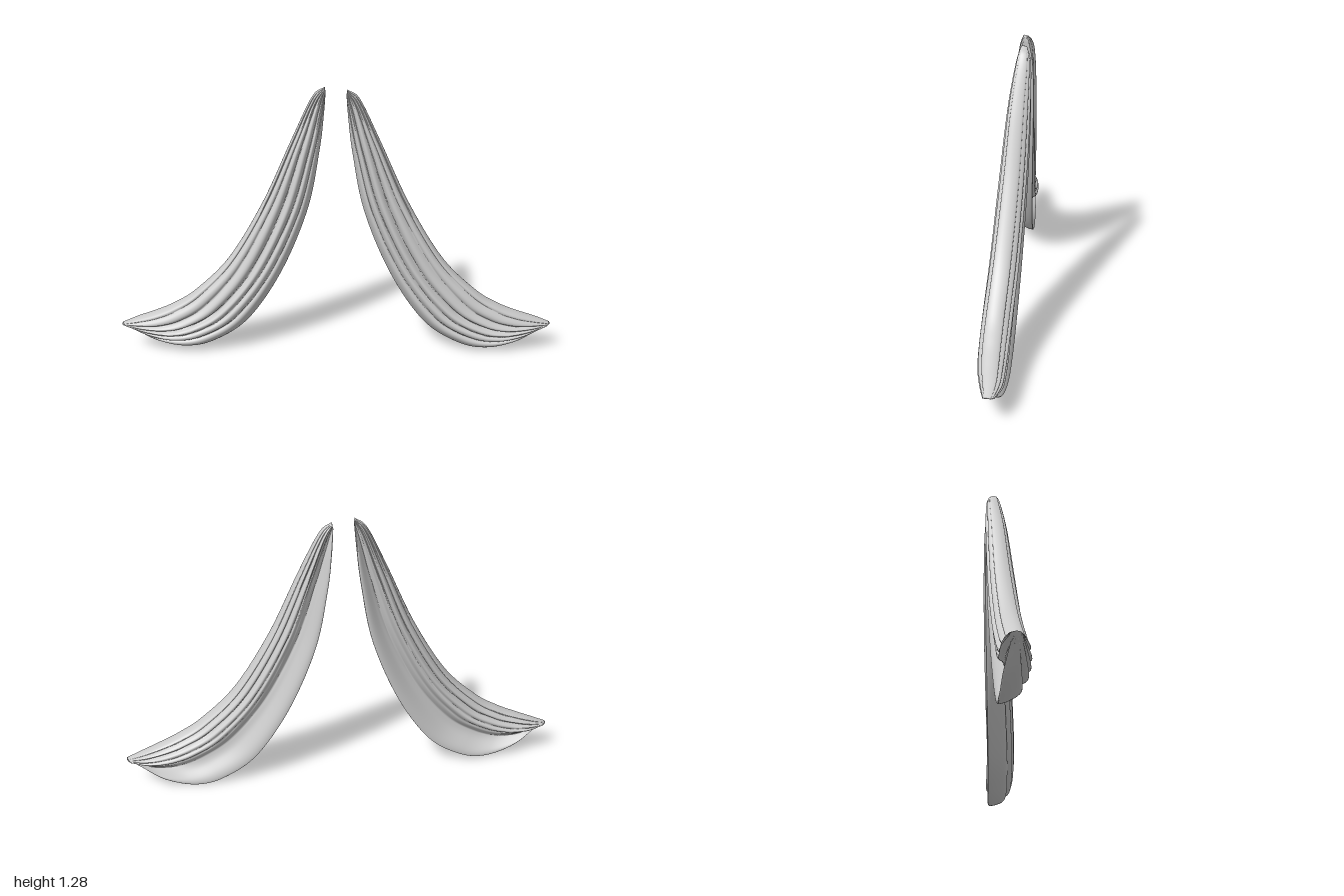
import * as THREE from 'three';

// Stations from the gathered top to the tied-back end:
// outer edge x, y, z | inner edge x, y, z | foremost z, rearmost z
const STATIONS = [
  [0.05, 1.27, -0.035, 0.045, 1.245, -0.05, -0.03, -0.06],
  [0.105, 1.225, -0.045, 0.053, 1.14, -0.065, -0.008, -0.08],
  [0.195, 1.04, -0.025, 0.073, 0.97, -0.073, 0.022, -0.085],
  [0.33, 0.745, -0.01, 0.128, 0.69, -0.068, 0.05, -0.08],
  [0.49, 0.48, 0.01, 0.25, 0.385, -0.058, 0.072, -0.068],
  [0.65, 0.32, 0.02, 0.405, 0.145, -0.048, 0.088, -0.056],
  [0.76, 0.25, 0.02, 0.56, 0.034, -0.042, 0.09, -0.052],
  [0.85, 0.21, 0.015, 0.69, 0.005, -0.036, 0.082, -0.05],
  [0.93, 0.18, 0.01, 0.83, 0.04, -0.02, 0.06, -0.045],
  [1.0, 0.152, 0.01, 0.945, 0.118, 0.0, 0.035, -0.018],
];
const ROWS = 100;
const HALF = 90;
const RING = HALF * 2;
const { lerp, smoothstep } = THREE.MathUtils;

const curveOf = (pick) =>
  new THREE.CatmullRomCurve3(STATIONS.map((s) => new THREE.Vector3(...pick(s))), false, 'catmullrom', 0.5);

// Puffed lobes of uneven depth with sharp valleys, wider towards the inner edge
function pleat(v, u, count, phase) {
  const drift = 0.4 * Math.sin(u * 5 + phase + v * 5) * Math.sin(Math.PI * v);
  const t = count * Math.pow(v, 0.72) + drift;
  const uneven = 0.75 + 0.25 * Math.sin(t * 2.1 + u * 3 + phase);
  return 1 - uneven * (1 - Math.pow(Math.abs(Math.sin(Math.PI * t)), 0.6));
}

function curtainGeometry(side, lift) {
  const outer = curveOf((s) => s.slice(0, 3));
  const inner = curveOf((s) => s.slice(3, 6));
  const depth = curveOf((s) => [s[6], s[7], 0]);
  const pos = [];
  const index = [];
  const tri = (a, b, c) => (side > 0 ? index.push(a, b, c) : index.push(a, c, b));

  for (let r = 0; r <= ROWS; r++) {
    const u = r / ROWS;
    const a = outer.getPoint(u);
    const b = inner.getPoint(u);
    const d = depth.getPoint(u);
    for (let i = 0; i < RING; i++) {
      const front = i < HALF;
      const angle = (Math.PI * (front ? i : RING - i)) / HALF;
      const v = (1 - Math.cos(angle)) / 2;
      const p = a.clone().lerp(b, v);
      // The front is fullest near the outer edge and rolls back to the inner edge
      const bulge = Math.pow(Math.sin(angle), 0.75);
      const frontFill = (d.x - p.z) * bulge * (1.08 - 0.35 * v);
      let z = p.z + frontFill * (0.54 + 0.46 * pleat(v, u, 6, 0));
      if (!front) {
        // The back is pleated near the outer edge and hollow inside the inner roll
        const folds = lerp(pleat(v, u, 7, 2), 1, smoothstep(v, 0.6, 0.75));
        const hollow = 0.55 * smoothstep(v, 0.3, 0.62) * (1 - smoothstep(v, 0.62, 1));
        const rear = p.z + (d.y - p.z) * bulge * (0.45 + 0.55 * folds);
        z = lerp(rear, p.z + frontFill * 0.75, hollow);
      }
      pos.push(side * p.x, p.y + lift * Math.max(v, 1 - u), z);
    }
  }
  for (let r = 0; r < ROWS; r++) {
    for (let i = 0; i < RING; i++) {
      const j = (i + 1) % RING;
      const p = r * RING;
      const q = p + RING;
      tri(p + i, p + j, q + i);
      tri(p + j, q + j, q + i);
    }
  }
  // Close both gathered ends
  for (const row of [0, ROWS]) {
    const start = row * RING;
    const centre = pos.length / 3;
    const mid = [0, 0, 0];
    for (let i = 0; i < RING; i++) for (let k = 0; k < 3; k++) mid[k] += pos[(start + i) * 3 + k] / RING;
    pos.push(...mid);
    for (let i = 0; i < RING; i++) {
      const j = (i + 1) % RING;
      if (row === 0) tri(centre, start + j, start + i);
      else tri(centre, start + i, start + j);
    }
  }
  const g = new THREE.BufferGeometry();
  g.setAttribute('position', new THREE.Float32BufferAttribute(pos, 3));
  g.setIndex(index);
  g.computeVertexNormals();
  return g;
}

export function createModel() {
  const group = new THREE.Group();
  group.name = 'tiedBackCurtains';
  const cloth = new THREE.MeshStandardMaterial({ color: 0xcccccc, side: THREE.DoubleSide });
  for (const [name, side, lift] of [['leftCurtain', 1, 0], ['rightCurtain', -1, 0.013]]) {
    const mesh = new THREE.Mesh(curtainGeometry(side, lift), cloth);
    mesh.name = name;
    group.add(mesh);
  }
  return group;
}
